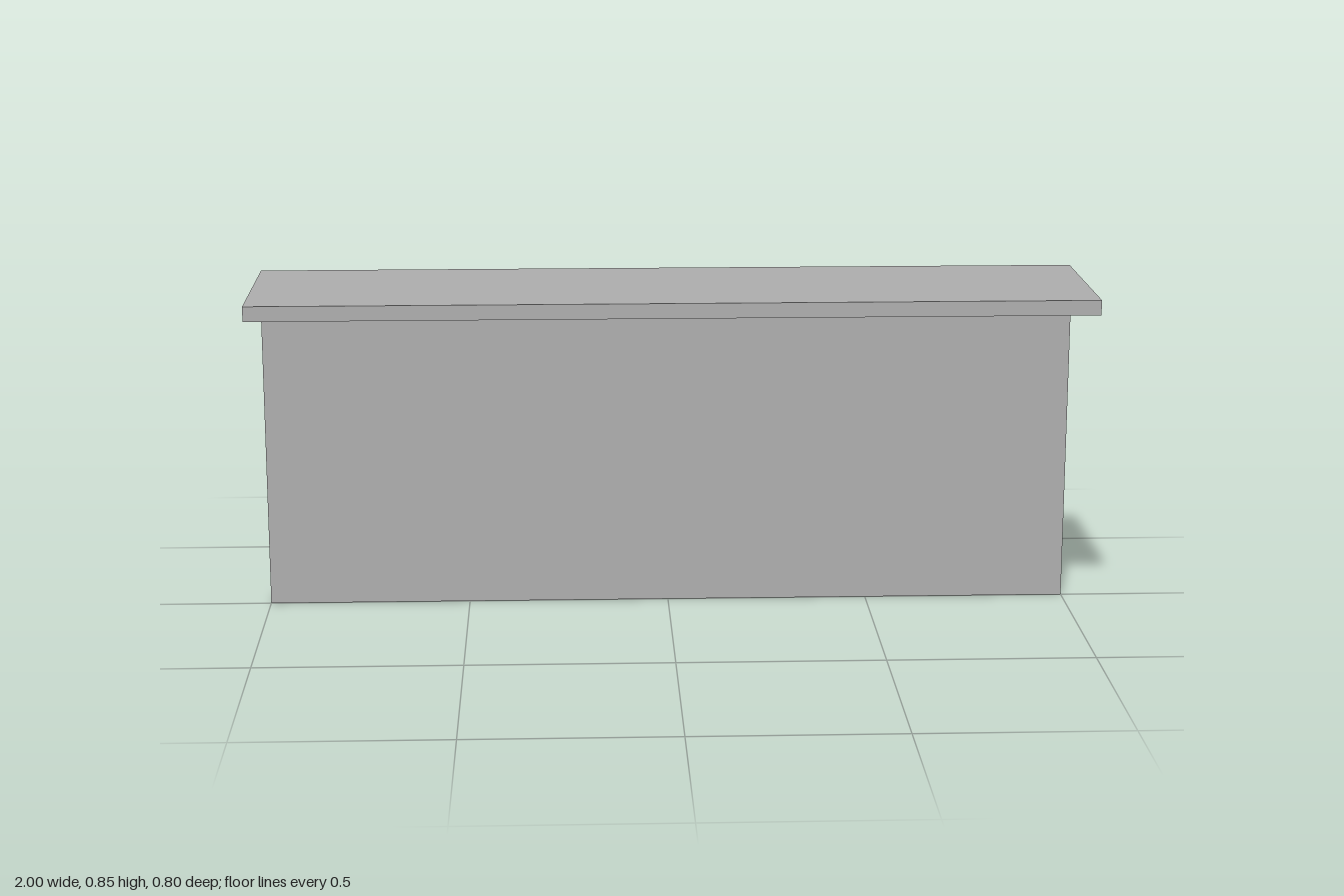
import * as THREE from 'three';

export function createModel() {
  const model = new THREE.Group();
  model.name = 'mountingBracket';
  const grey = new THREE.MeshStandardMaterial({ color: 0xb0b0b0 });
  grey.name = 'plain grey';

  // Extrudes a side profile of [depth towards the back, height] points from x0 to x1
  function addProfile(name, points, x0, x1, hole) {
    const shape = new THREE.Shape(points.map(([d, y]) => new THREE.Vector2(d, y)));
    if (hole) {
      const path = new THREE.Path();
      path.absarc(hole.d, hole.y, hole.r, 0, Math.PI * 2, true);
      shape.holes.push(path);
    }
    const geometry = new THREE.ExtrudeGeometry(shape, { depth: x1 - x0, bevelEnabled: false, curveSegments: 32 });
    geometry.rotateY(Math.PI / 2);
    geometry.translate(x0, 0, 0);
    const mesh = new THREE.Mesh(geometry, grey);
    mesh.name = name;
    model.add(mesh);
  }

  // Upright plate with a top flange reaching forward
  addProfile('anglePlate', [
    [0, 0], [0.038, 0], [0.038, 0.845], [-0.4, 0.845], [-0.4, 0.809], [0, 0.809],
  ], -1, 1);

  // Sloped lugs on the back, each with a pin hole
  const lug = [[0.038, 0.158], [0.4, 0.158], [0.4, 0.375], [0.038, 0.735]];
  addProfile('wideLug', lug, 0.193, 0.343, { d: 0.288, y: 0.267, r: 0.029 });
  addProfile('narrowLug', lug, -0.288, -0.197, { d: 0.288, y: 0.267, r: 0.04 });

  return model;
}
